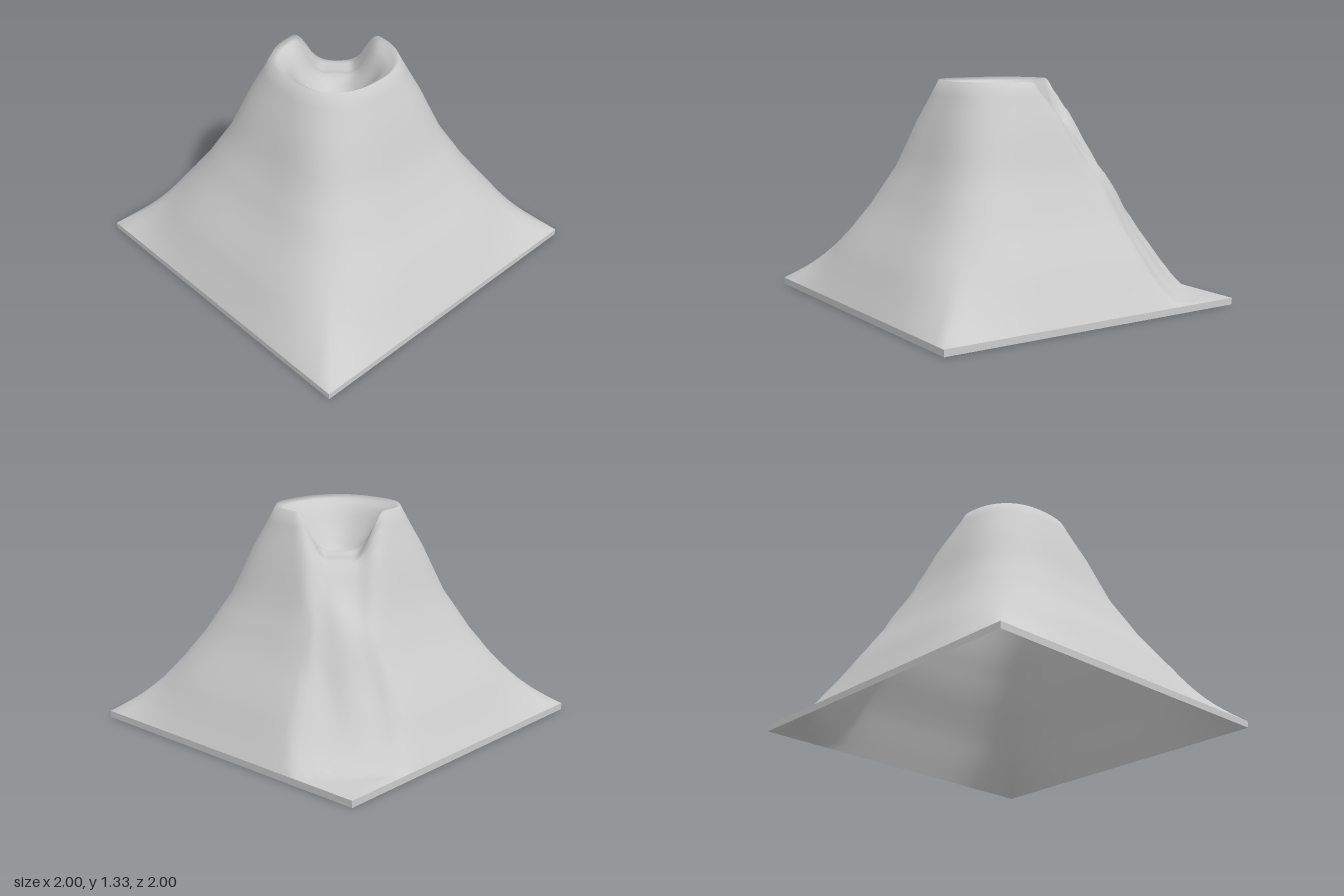
import * as THREE from 'three';

const { lerp, mapLinear, smoothstep } = THREE.MathUtils;
const SEGMENTS = 128;
const STEPS = 3; // rings per profile interval
const THICKNESS = 0.04;

// Section of the cone: [radius, height] from crater floor over the lip and rim to the foot
const CONE = [[0, 1], [0.1, 1.03], [0.19, 1.14], [0.27, 1.26], [0.35, 1.325], [0.46, 1.07],
  [0.56, 0.79], [0.685, 0.55], [0.84, 0.32], [0.935, 0.15], [1, THICKNESS]];
// Section along the bottom of the lava channel: [distance from centre, height]
const CHANNEL = [[0, 1], [0.12, 1.03], [0.2, 1.07], [0.4, 1.06], [0.51, 0.9], [0.67, 0.72], [0.8, 0.44],
  [0.96, 0.2], [1.1, 0.05], [1.5, THICKNESS]];

function sample(profile, x) {
  for (let i = 1; i < profile.length; i++) {
    const [x0, y0] = profile[i - 1], [x1, y1] = profile[i];
    if (x <= x1) return mapLinear(x, x0, x1, y0, y1);
  }
  return THICKNESS;
}

// Distance from the axis to a ring of size s in direction (c, d):
// nearly round at the crater, a rounded square on the slopes, a true square at the foot
function ringRadius(s, c, d) {
  const p = lerp(2.2, 4, smoothstep(s, 0.25, 0.75));
  const rounded = 1 / Math.pow(Math.abs(c) ** p + Math.abs(d) ** p, 1 / p);
  const square = 1 / Math.max(Math.abs(c), Math.abs(d));
  const t = Math.max(0, (s - 0.78) / 0.22);
  return s * lerp(rounded, square, t * t);
}

// Lowers the surface inside the channel that runs from the rim to the back corner
function carve(x, z, h) {
  const along = (x - z) * Math.SQRT1_2;
  const across = (x + z) * Math.SQRT1_2;
  const inner = 0.08 + 0.45 * Math.max(0, along - 0.55);
  const outer = 0.26 + 0.38 * Math.max(0, along - 0.4);
  const mask = smoothstep(along, 0.05, 0.25) * (1 - smoothstep(Math.abs(across), inner, outer));
  // hardened flow ripples, fading out at both ends
  const fade = smoothstep(along, 0.4, 0.6) * (1 - smoothstep(along, 0.8, 1.05));
  const ripple = 0.025 * fade * Math.cos(across * 22 + Math.sin(along * 9));
  return lerp(h, Math.min(h, sample(CHANNEL, along) + ripple), mask);
}

function mountainGeometry() {
  const sizes = [];
  for (let i = 1; i < CONE.length; i++) {
    for (let k = 0; k < STEPS; k++) sizes.push(lerp(CONE[i - 1][0], CONE[i][0], k / STEPS));
  }
  sizes.push(1);

  const positions = [], indices = [];
  sizes.forEach((s, i) => {
    for (let j = 0; j < SEGMENTS; j++) {
      const angle = (j / SEGMENTS) * Math.PI * 2;
      const c = Math.cos(angle), d = Math.sin(angle);
      const r = ringRadius(s, c, d);
      positions.push(r * c, carve(r * c, r * d, sample(CONE, s)), r * d);
      if (i === 0) continue;
      const n = (j + 1) % SEGMENTS;
      const a0 = (i - 1) * SEGMENTS + j, a1 = (i - 1) * SEGMENTS + n;
      const b0 = i * SEGMENTS + j, b1 = i * SEGMENTS + n;
      if (i > 1) indices.push(a0, a1, b0);
      indices.push(a1, b1, b0);
    }
  });
  const geometry = new THREE.BufferGeometry();
  geometry.setAttribute('position', new THREE.Float32BufferAttribute(positions, 3));
  geometry.setIndex(indices);
  geometry.computeVertexNormals();
  return geometry;
}

export function createModel() {
  const group = new THREE.Group();
  group.name = 'volcano';
  const material = new THREE.MeshStandardMaterial({ color: 0xcccccc, side: THREE.DoubleSide });

  // Upper surface with crater, slopes and lava channel
  const mountain = new THREE.Mesh(mountainGeometry(), material);
  mountain.name = 'mountain';
  group.add(mountain);

  // Hollow lower surface, one shell thickness below
  const underside = new THREE.Mesh(mountain.geometry, material);
  underside.name = 'underside';
  underside.position.y = -THICKNESS;
  group.add(underside);

  // Thin upright edge closing the shell around the foot
  for (let i = 0; i < 4; i++) {
    const geometry = new THREE.PlaneGeometry(2, THICKNESS).translate(0, THICKNESS / 2, 1).rotateY(i * Math.PI / 2);
    const side = new THREE.Mesh(geometry, material);
    side.name = 'baseEdge';
    group.add(side);
  }
  return group;
}
